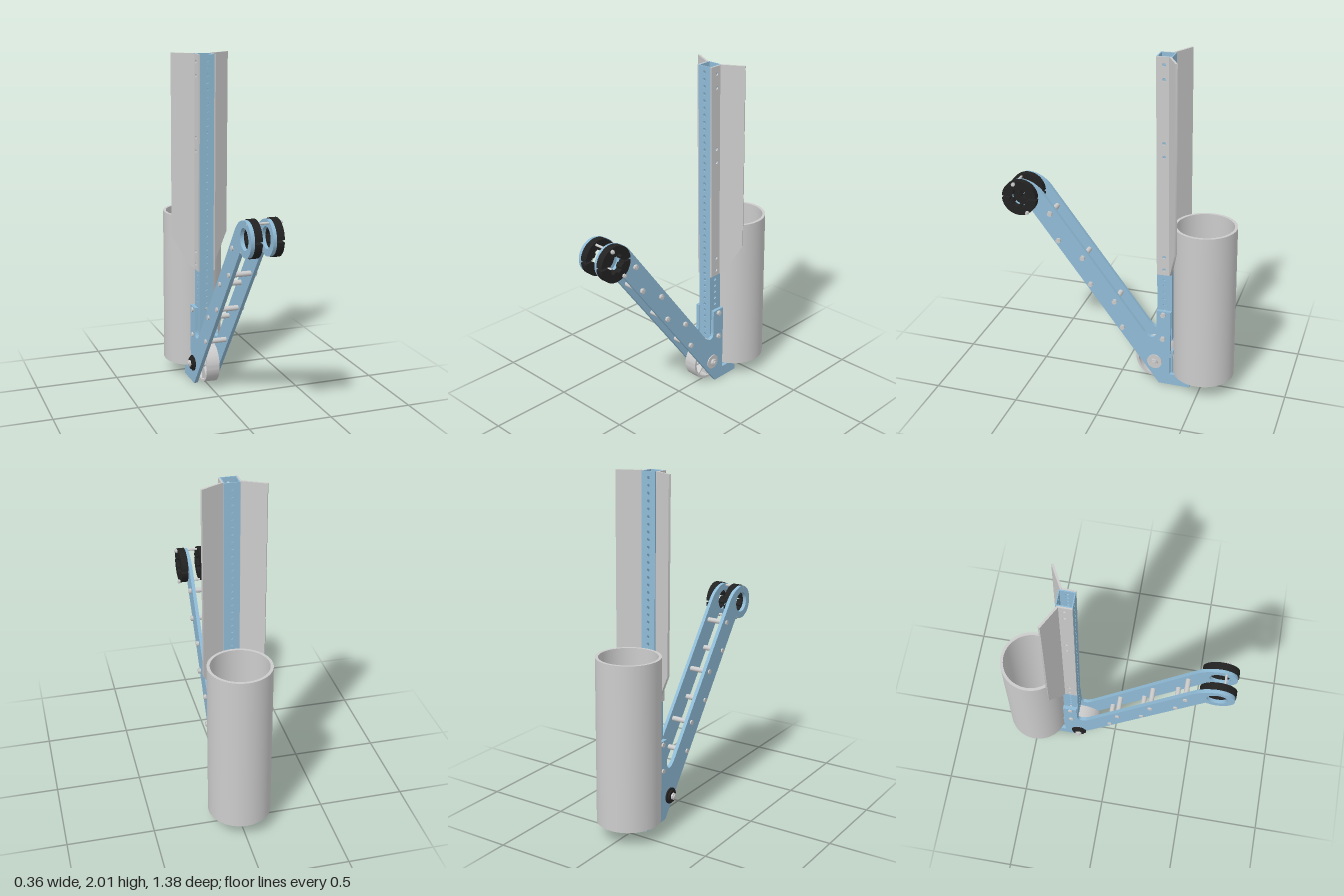
import * as THREE from 'three';
import { toCreasedNormals } from 'three/addons/utils/BufferGeometryUtils.js';

const mat = (color) => new THREE.MeshStandardMaterial({ color });
const grey = mat(0xcccccc);
const blue = mat(0x8fbbd6);
const black = mat(0x222222);

function add(parent, name, geometry, material, x = 0, y = 0, z = 0) {
  const mesh = new THREE.Mesh(geometry, material);
  mesh.name = name;
  mesh.position.set(x, y, z);
  parent.add(mesh);
  return mesh;
}

const polygon = (points) => new THREE.Shape(points.map(([a, b]) => new THREE.Vector2(a, b)));

function hole(shape, a, b, r) {
  shape.holes.push(new THREE.Path().absarc(a, b, r, 0, Math.PI * 2, true));
}

const extrude = (shape, depth, segments = 8) => toCreasedNormals(
  new THREE.ExtrudeGeometry(shape, { depth, bevelEnabled: false, curveSegments: segments }), 0.6);

// Extrudes a shape drawn in (z, y) so that it fills x0..x1
const sideExtrude = (shape, x0, x1, segments) =>
  extrude(shape, x1 - x0, segments).rotateY(-Math.PI / 2).translate(x1, 0, 0);

// Cylinder lying along x from x0 to x1
function rod(parent, name, x0, x1, y, z, r, material = grey, sides = 20) {
  const geometry = new THREE.CylinderGeometry(r, r, x1 - x0, sides).rotateZ(Math.PI / 2);
  return add(parent, name, geometry, material, (x0 + x1) / 2, y, z);
}

function bolt(parent, y, z) {
  const g = new THREE.Group();
  g.name = 'bolt';
  rod(g, 'boltShank', -0.073, 0.088, y, z, 0.008);
  rod(g, 'boltHead', -0.081, -0.073, y, z, 0.014);
  rod(g, 'boltNut', 0.07, 0.086, y, z, 0.016, grey, 6);
  parent.add(g);
}

const HEAD = { z: 0.593, y: 1.115 };
const AXLE = { z: -0.222, y: 0.145 };

// Side plate: rounded head, sloping arm, upright lug and rear foot
function platesShape() {
  const s = new THREE.Shape();
  s.moveTo(-0.25, 0);
  s.lineTo(0.532, 1.03);
  s.absarc(HEAD.z, HEAD.y, 0.1, -2.2, 1.75, false);
  s.quadraticCurveTo(0.505, 1.2, 0.46, 1.145);
  s.lineTo(-0.15, 0.345);
  s.quadraticCurveTo(-0.185, 0.3, -0.21, 0.308);
  s.quadraticCurveTo(-0.23, 0.315, -0.23, 0.35);
  s.lineTo(-0.23, 0.49);
  s.lineTo(-0.315, 0.49);
  s.lineTo(-0.315, 0.07);
  s.lineTo(-0.437, 0.07);
  s.lineTo(-0.437, 0);
  s.closePath();
  hole(s, HEAD.z, HEAD.y, 0.06);
  return s;
}

// Half of a split clamp ring with a toothed bore
function clampHalf() {
  const s = new THREE.Shape();
  const outer = 0.105, gap = 0.06;
  s.absarc(0, 0, outer, gap, Math.PI - gap, false);
  const n = 36;
  for (let i = 0; i <= n; i++) {
    const a = Math.PI - 0.08 - (i / n) * (Math.PI - 0.16);
    const r = Math.cos(a * 6) > -0.1 ? 0.058 : 0.046;
    s.lineTo(r * Math.cos(a), r * Math.sin(a));
  }
  s.closePath();
  return s;
}

function buildArm() {
  const arm = new THREE.Group();
  arm.name = 'arm';
  for (const [x0, x1] of [[-0.073, -0.051], [0.051, 0.071]]) {
    add(arm, 'sidePlate', sideExtrude(platesShape(), x0, x1, 24), blue);
    for (const turn of [0, Math.PI]) {
      const geo = sideExtrude(clampHalf(), x1, x1 + 0.041, 24);
      add(arm, 'clampRing', geo, black, 0, HEAD.y, HEAD.z).rotation.x = turn;
    }
  }
  // Spacers staggered in two rows along the arm
  for (let i = 0; i < 3; i++) {
    for (const [z, y] of [[0.418, 1.025], [0.37, 0.861]]) {
      const pz = z - i * 0.196, py = y - i * 0.257;
      rod(arm, 'spacer', -0.051, 0.051, py, pz, 0.015);
      bolt(arm, py, pz);
    }
  }
  // Long bolts through the clamp rings
  for (const [z, y] of [[0.622, 1.2], [0.542, 1.032]]) {
    rod(arm, 'clampBolt', -0.073, 0.13, y, z, 0.007);
    rod(arm, 'clampNut', 0.113, 0.124, y, z, 0.012, grey, 6);
  }
  bolt(arm, 0.47, -0.27);
  bolt(arm, 0.31, -0.27);
  return arm;
}

// Spoked wheel with its axle, washer and knob
function buildWheel() {
  const wheel = new THREE.Group();
  wheel.name = 'wheel';
  wheel.position.set(0, AXLE.y, AXLE.z);
  const rim = new THREE.Shape().absarc(0, 0, 0.122, 0, Math.PI * 2, false);
  hole(rim, 0, 0, 0.107);
  add(wheel, 'rim', sideExtrude(rim, -0.04, 0.04, 40), grey);
  rod(wheel, 'hub', -0.04, 0.04, 0, 0, 0.035, grey, 28);
  for (let i = 0; i < 8; i++) {
    const spoke = add(wheel, 'spoke', new THREE.BoxGeometry(0.06, 0.08, 0.008).translate(0, 0.07, 0), grey);
    spoke.rotation.x = i * Math.PI / 4;
  }
  rod(wheel, 'axle', -0.125, 0.1, 0, 0, 0.013);
  rod(wheel, 'washer', 0.071, 0.077, 0, 0, 0.045, grey, 32);
  rod(wheel, 'axleNut', 0.077, 0.093, 0, 0, 0.022, grey, 6);
  rod(wheel, 'knob', -0.107, -0.082, 0, 0, 0.036, black, 24);
  rod(wheel, 'knobFlange', -0.096, -0.088, 0, 0, 0.047, black, 24);
  rod(wheel, 'knobCap', -0.118, -0.107, 0, 0, 0.02, grey);
  return wheel;
}

// Perforated square mast, from four thin walls
function buildMast() {
  const mast = new THREE.Group();
  mast.name = 'mast';
  const half = 0.044, low = 0.28, high = 2.004;
  for (let i = 0; i < 4; i++) {
    const s = polygon([[-half, low], [half, low], [half, high], [-half, high]]);
    for (let y = low + 0.03; y < high - 0.02; y += 0.0415) hole(s, 0, y, 0.009);
    const wall = add(mast, 'mastWall', extrude(s, 0.006, 5).translate(0, 0, half - 0.006), blue);
    wall.rotation.y = i * Math.PI / 2;
  }
  mast.position.z = -0.279;
  return mast;
}

// One bent half of the guard: side flange and flared wing
function buildGuardHalf() {
  const half = new THREE.Group();
  half.name = 'guardHalf';
  const flange = polygon([[-0.315, 0.715], [-0.235, 0.715], [-0.235, 2.004], [-0.315, 2.004]]);
  for (const y of [1.96, 1.88, 1.52, 1.44, 0.83, 0.75]) hole(flange, -0.279, y, 0.01);
  add(half, 'guardFlange', sideExtrude(flange, 0.044, 0.053), grey);
  const wing = polygon([[0, 0.715], [0.03, 0.735], [0.14, 0.915], [0.14, 2.006], [0, 2.006]]);
  add(half, 'guardWing', extrude(wing, 0.012), grey, 0.047, 0, -0.317).rotation.y = 0.496;
  return half;
}

// Pointed support inside the holder, rising to a rounded tip
function buildSupport(parent) {
  const taper = new THREE.BoxGeometry(0.13, 0.2, 0.11);
  const p = taper.attributes.position;
  for (let i = 0; i < p.count; i++) {
    if (p.getY(i) > 0) {
      p.setX(i, p.getX(i) * 0.18);
      p.setZ(i, -0.075 + p.getZ(i) * 0.2);
    }
  }
  const flat = taper.toNonIndexed();
  flat.computeVertexNormals();
  add(parent, 'innerSupport', flat, grey, 0, 0.17, -0.425);
  add(parent, 'supportTip', new THREE.SphereGeometry(0.018, 16, 12), grey, 0, 0.268, -0.5);
  rod(parent, 'supportBolt', -0.08, 0.09, 0.1, -0.4, 0.013);
}

export function createModel() {
  const model = new THREE.Group();
  model.name = 'model';
  model.add(buildArm(), buildWheel());
  buildSupport(model);
  add(model, 'footCrossbar', new THREE.BoxGeometry(0.102, 0.055, 0.02), blue, 0, 0.04, -0.425);
  add(model, 'rearBracket', new THREE.BoxGeometry(0.102, 0.15, 0.012), blue, 0, 0.145, -0.322);

  // Upright parts lean forward very slightly
  const upright = new THREE.Group();
  upright.name = 'upright';
  upright.rotation.x = 0.0175;
  const guardLeft = buildGuardHalf();
  const guardRight = buildGuardHalf();
  guardRight.scale.x = -1;
  upright.add(buildMast(), guardLeft, guardRight);

  // Open tubular holder at the back
  const ring = new THREE.Shape().absarc(0, 0, 0.18, 0, Math.PI * 2, false);
  hole(ring, 0, 0, 0.163);
  add(upright, 'tubeHolder', extrude(ring, 0.952, 40).rotateX(-Math.PI / 2), grey, 0, 0.08, -0.507);
  model.add(upright);
  return model;
}
